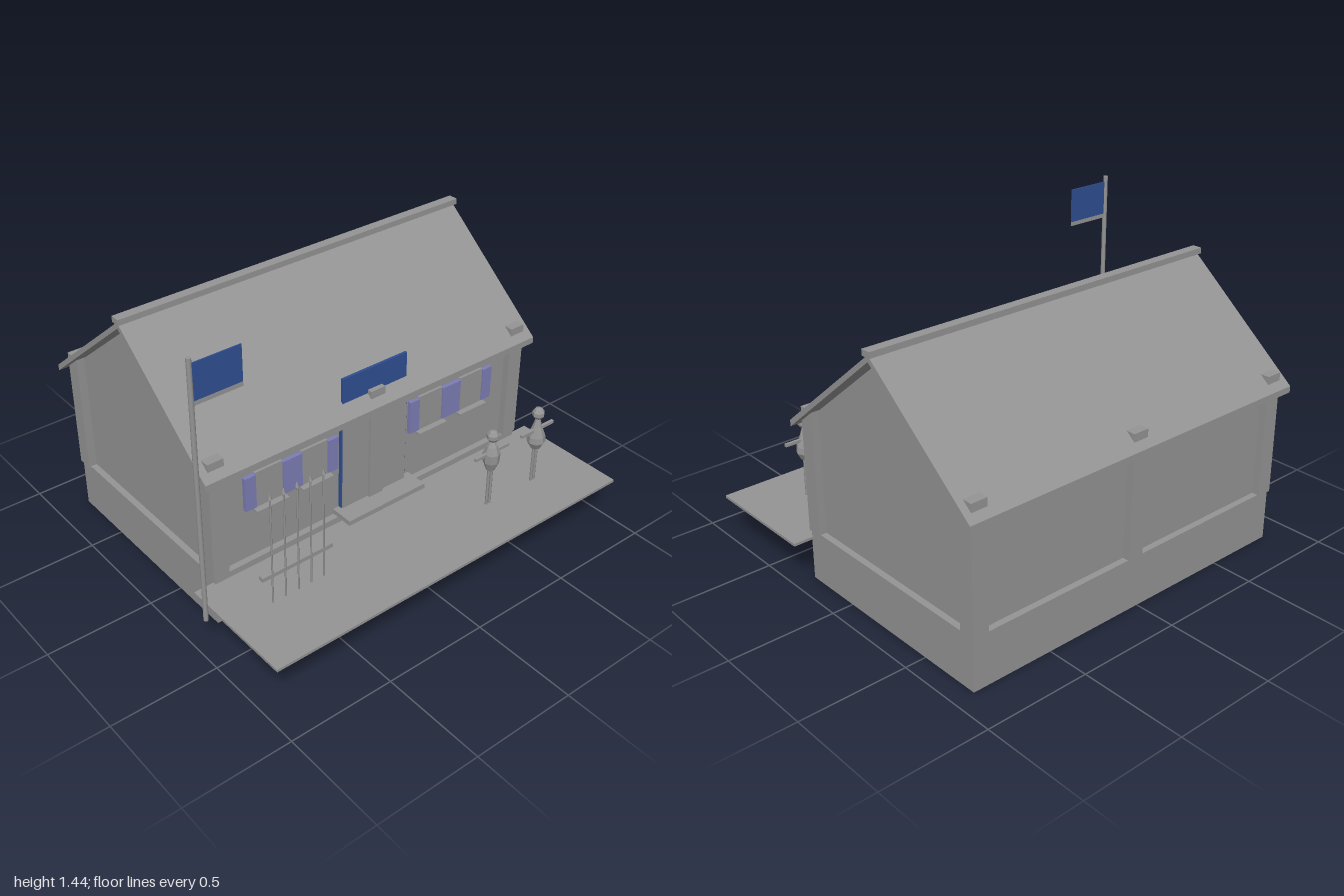
import * as THREE from 'three';

const mat = (name, color) => {
  const m = new THREE.MeshStandardMaterial({ color });
  m.name = name;
  return m;
};

export function createModel() {
  const root = new THREE.Group();
  root.name = 'terraceHouse';
  const grey = mat('stoneGrey', 0x949494);
  const blue = mat('navyBlue', 0x2f4f93);
  const violet = mat('shutterViolet', 0x7d7db6);

  const add = (name, geo, material, parent = root) => {
    const m = new THREE.Mesh(geo, material);
    m.name = name;
    parent.add(m);
    return m;
  };
  // Box given by its lower and upper limits on each axis
  const box = (name, x0, x1, y0, y1, z0, z1, material = grey, parent = root) => {
    const g = new THREE.BoxGeometry(x1 - x0, y1 - y0, z1 - z0);
    g.translate((x0 + x1) / 2, (y0 + y1) / 2, (z0 + z1) / 2);
    return add(name, g, material, parent);
  };
  // Profile of [z, y] points extruded from x0 to x1
  const extrudeX = (name, pts, x0, x1, material) => {
    const shape = new THREE.Shape(pts.map(([z, y]) => new THREE.Vector2(-z, y)));
    const g = new THREE.ExtrudeGeometry(shape, { depth: x1 - x0, bevelEnabled: false });
    g.rotateY(Math.PI / 2).translate(x0, 0, 0);
    return add(name, g, material);
  };

  // Hollow foundation, open below, closed by the floor
  box('foundationFront', -0.845, 0.9, 0, 0.245, 0.275, 0.285);
  box('foundationBack', -0.845, 0.9, 0, 0.245, -0.8, -0.79);
  box('foundationRight', -0.845, -0.835, 0, 0.245, -0.79, 0.275);
  box('foundationLeft', 0.89, 0.9, 0, 0.245, -0.79, 0.275);
  box('floor', -0.835, 0.89, 0.235, 0.245, -0.79, 0.275);

  // Walls with gables, set back behind the posts
  extrudeX('walls', [[0.255, 0.245], [0.255, 0.79], [-0.257, 1.205], [-0.77, 0.79], [-0.77, 0.245]],
    -0.815, 0.87, grey);

  // Posts, their tops standing proud of the roof
  for (const x of [-0.815, 0.025, 0.867])
    for (const z of [0.252, -0.768])
      box('post', x - 0.039, x + 0.039, 0.24, 0.83, z - 0.038, z + 0.038);

  // Roof and ridge cap
  extrudeX('roof', [[0.325, 0.735], [0.325, 0.765], [-0.257, 1.24], [-0.84, 0.765], [-0.84, 0.735], [-0.257, 1.212]],
    -0.89, 0.94, grey);
  box('ridgeCap', -0.897, 0.95, 1.235, 1.262, -0.282, -0.235);

  // Double door, step, wall lamp and roof sign
  box('doorFrame', -0.163, 0.208, 0.23, 0.705, 0.25, 0.272, blue);
  box('door', -0.157, 0.202, 0.27, 0.699, 0.25, 0.278);
  box('doorStep', -0.195, 0.245, 0.25, 0.274, 0.25, 0.37);
  box('wallLamp', 0.24, 0.265, 0.685, 0.727, 0.25, 0.28);
  box('roofSign', -0.152, 0.205, 0.803, 0.935, 0.254, 0.266, blue);

  // Windows with shutters and sills
  for (const x of [-0.545, -0.305, 0.355, 0.605]) {
    const w = new THREE.Group();
    w.name = 'window';
    root.add(w);
    box('windowPanel', x - 0.07, x + 0.07, 0.495, 0.67, 0.25, 0.268, grey, w);
    box('windowSill', x - 0.083, x + 0.083, 0.483, 0.495, 0.25, 0.297, grey, w);
    for (const s of [-1, 1])
      box('shutter', x + s * 0.0975 - 0.0275, x + s * 0.0975 + 0.0275, 0.5, 0.665, 0.25, 0.275, violet, w);
  }

  // Terrace
  box('terrace', -0.943, 1, 0.202, 0.215, 0.27, 0.84);

  // Flag
  add('flagPole', new THREE.CylinderGeometry(0.011, 0.011, 1.235, 10).translate(-0.988, 0.8175, 0.423), grey);
  box('flag', -0.978, -0.76, 1.248, 1.408, 0.42, 0.426, blue);
  box('flagHem', -0.978, -0.76, 1.228, 1.248, 0.42, 0.426);

  // Row of spears on a rail
  box('spearRail', -0.775, -0.415, 0.348, 0.367, 0.5, 0.526);
  for (let i = 0; i < 5; i++) {
    const x = -0.725 + i * 0.0663;
    add('spearShaft', new THREE.CylinderGeometry(0.004, 0.004, 0.53, 6).translate(x, 0.48, 0.523), grey);
    add('spearTip', new THREE.ConeGeometry(0.009, 0.028, 6).translate(x, 0.755, 0.523), grey);
  }

  // Two standing figures: [x, body profile of radius and height]
  const facets = grey.clone();
  facets.name = 'figureGrey';
  facets.flatShading = true;
  const figures = [
    [0.422, [[0, 0.39], [0.02, 0.405], [0.037, 0.45], [0.039, 0.495], [0.026, 0.53], [0.01, 0.555], [0, 0.56]]],
    [0.708, [[0, 0.39], [0.024, 0.4], [0.043, 0.435], [0.04, 0.465], [0.022, 0.515], [0.01, 0.555], [0, 0.56]]],
  ];
  for (const [x, profile] of figures) {
    const f = new THREE.Group();
    f.name = 'figure';
    f.position.set(x, 0, 0.6);
    root.add(f);
    add('body', new THREE.LatheGeometry(profile.map(p => new THREE.Vector2(...p)), 8), facets, f);
    add('head', new THREE.SphereGeometry(0.03, 7, 5).translate(0, 0.582, 0), facets, f);
    box('arms', -0.102, 0.102, 0.49, 0.504, -0.007, 0.007, grey, f);
    for (const s of [-1, 1])
      add('leg', new THREE.CylinderGeometry(0.007, 0.007, 0.2, 6).translate(s * 0.009, 0.312, 0), grey, f);
  }
  return root;
}
